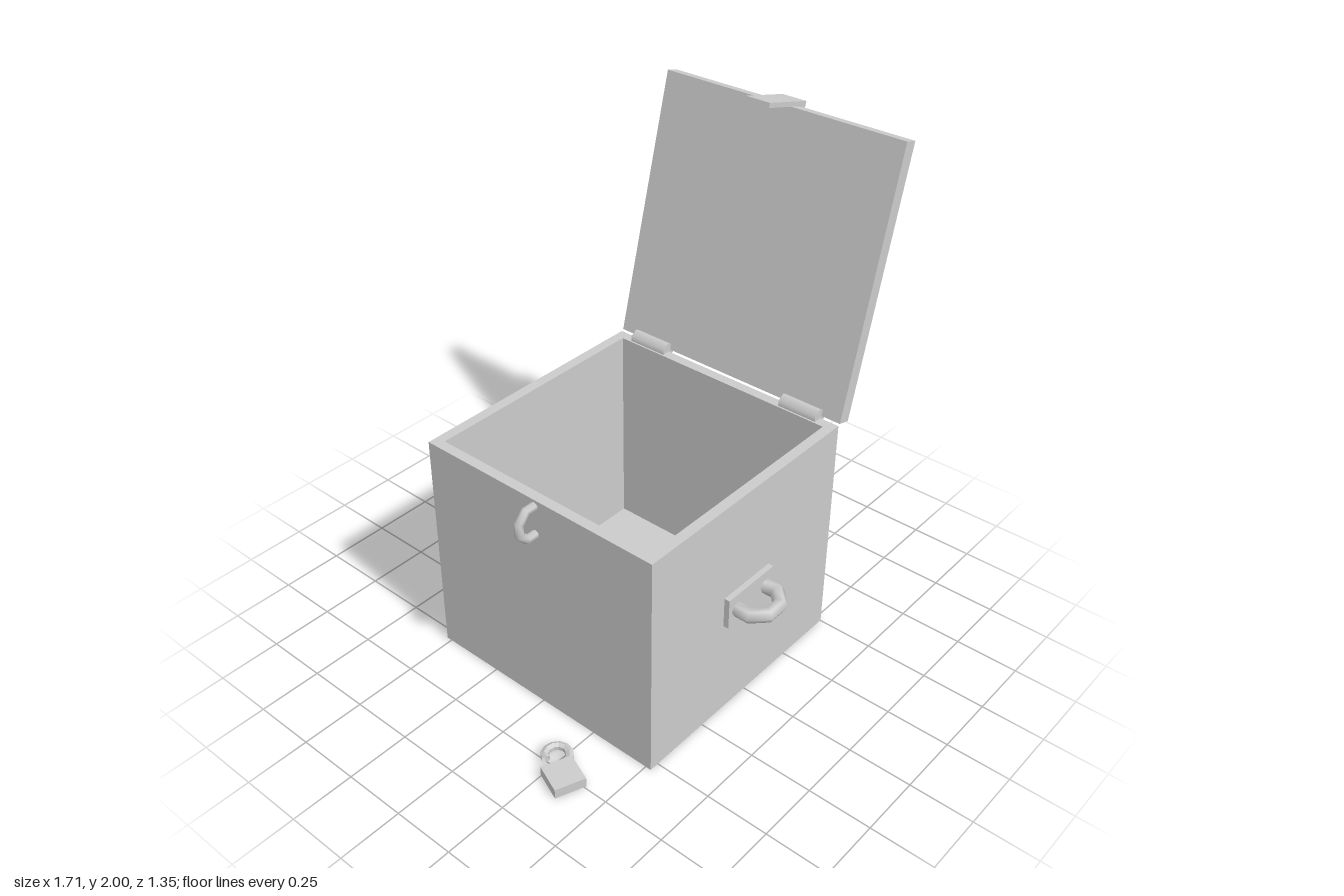
import * as THREE from 'three';

const material = new THREE.MeshStandardMaterial({ color: 0xcccccc });
const sheet = new THREE.MeshStandardMaterial({ color: 0xcccccc, flatShading: true, side: THREE.DoubleSide });

function add(parent, name, geometry, x = 0, y = 0, z = 0, mat = material) {
  const mesh = new THREE.Mesh(geometry, mat);
  mesh.name = name;
  mesh.position.set(x, y, z);
  parent.add(mesh);
  return mesh;
}

// Box given by its limits on each axis
function block(parent, name, [x0, x1], [y0, y1], [z0, z1]) {
  return add(parent, name, new THREE.BoxGeometry(x1 - x0, y1 - y0, z1 - z0),
    (x0 + x1) / 2, (y0 + y1) / 2, (z0 + z1) / 2);
}

// Part of an octagonal ring lying flat, opening towards -z
function loop(outer, tube, sides) {
  const reach = outer / Math.cos(Math.PI / 8);
  return new THREE.TorusGeometry(reach - tube, tube, 6, sides, sides * Math.PI / 4)
    .rotateZ(-Math.PI / 8).rotateX(Math.PI / 2);
}

export function createModel() {
  const model = new THREE.Group();
  model.name = 'chest';

  // Chest body: outer wall, rim, inner wall and raised floor as a four-sided lathe
  const profile = [[0.5, 0], [0.5, 0.93], [0.461, 0.93], [0.461, 0.08], [0, 0.08]]
    .map(([half, y]) => new THREE.Vector2(half * Math.SQRT2, y));
  const bodyShape = new THREE.LatheGeometry(profile, 4, Math.PI / 4).scale(1.04, 1, 1.046);
  add(model, 'body', bodyShape, -0.018, 0, 0, sheet);

  // Open lid, modelled upright and tilted back at the hinge
  const lid = new THREE.Group();
  lid.name = 'lid';
  lid.position.set(0.51, 0.935, 0);
  lid.rotation.z = -0.255;
  model.add(lid);
  block(lid, 'lidPanel', [0, 0.055], [0, 1.04], [-0.523, 0.523]);
  block(lid, 'haspStrap', [0.055, 0.08], [0.83, 1.042], [-0.052, 0.052]);
  block(lid, 'haspFlap', [-0.15, 0.08], [1.042, 1.06], [-0.052, 0.052]);

  for (const side of [1, -1]) {
    // Hinge barrels
    add(model, 'hinge', new THREE.CylinderGeometry(0.034, 0.034, 0.165, 6)
      .rotateX(Math.PI / 2), 0.498, 0.935, side * 0.36);

    // Side handles on their plates
    const handle = new THREE.Group();
    handle.name = 'handle';
    handle.rotation.y = side > 0 ? 0 : Math.PI;
    handle.position.set(-0.017, 0.47, 0);
    model.add(handle);
    block(handle, 'handlePlate', [-0.128, 0.128], [-0.063, 0.063], [0.515, 0.545]);
    add(handle, 'handleGrip', loop(0.11, 0.029, 5), 0, 0, 0.565);
  }

  // Staple on the wall opposite the hinges
  const staple = add(model, 'staple', loop(0.076, 0.018, 5), -0.555, 0.845, 0);
  staple.rotation.set(Math.PI / 2, -Math.PI / 2, 0, 'XYZ');

  // Unlocked padlock lying on the ground
  const padlock = new THREE.Group();
  padlock.name = 'padlock';
  padlock.position.set(-0.775, 0, 0.325);
  padlock.rotation.y = -0.38;
  model.add(padlock);
  block(padlock, 'lockBody', [-0.06, 0.06], [0, 0.04], [-0.06, 0.06]);
  const shackle = new THREE.CatmullRomCurve3([
    [0.045, -0.05], [0.065, -0.085], [0.065, -0.115], [0.04, -0.142],
    [0.005, -0.142], [-0.02, -0.12], [-0.022, -0.1],
  ].map(([x, z]) => new THREE.Vector3(x, 0.022, z)));
  add(padlock, 'shackle', new THREE.TubeGeometry(shackle, 8, 0.016, 6), 0, 0, 0, sheet);

  return model;
}
